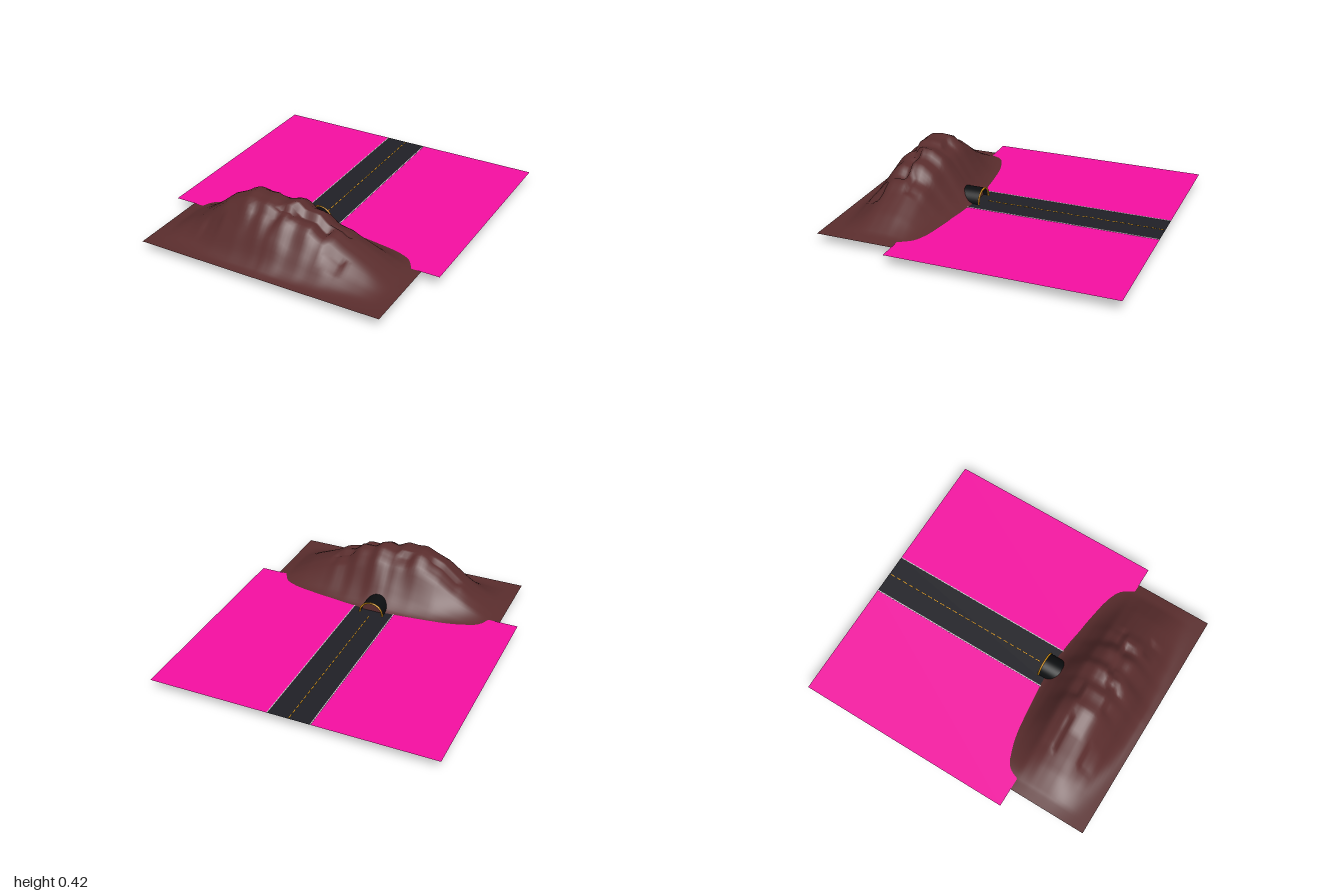
import * as THREE from 'three';

const mat = (color) => new THREE.MeshStandardMaterial({ color, side: THREE.DoubleSide });

// Piecewise linear profile through [position, value] pairs
function profile(points, t) {
  for (let i = 1; i < points.length; i++) {
    const [a, u] = points[i - 1], [b, v] = points[i];
    if (t <= b) return u + (v - u) * THREE.MathUtils.clamp((t - a) / (b - a), 0, 1);
  }
  return points[points.length - 1][1];
}

const GROUND = 0.08, BASE = 0.07;

// Ridge seen along z and along x
const ridgeX = [[-0.82, 0], [-0.74, 0.015], [-0.6, 0.095], [-0.5, 0.17], [-0.37, 0.28], [-0.22, 0.35],
  [-0.15, 0.34], [-0.08, 0.345], [-0.03, 0.32], [0.07, 0.35], [0.13, 0.3], [0.22, 0.3], [0.28, 0.245],
  [0.37, 0.22], [0.43, 0.18], [0.6, 0.1], [0.74, 0.02], [0.82, 0]];
const ridgeZ = [[0.25, 0], [0.3, 0.08], [0.36, 0.28], [0.42, 0.54], [0.48, 0.82], [0.56, 0.98], [0.63, 1],
  [0.7, 0.97], [0.74, 0.9], [0.78, 0.77], [0.85, 0.48], [0.9, 0.22], [0.95, 0.05], [1, 0]];

// Short rock ledges: x from, x to, z, depth, fall direction
const ledges = [[-0.48, -0.3, 0.6, 0.025, -1], [-0.48, -0.38, 0.76, 0.025, 1], [-0.15, -0.08, 0.56, 0.03, -1],
  [-0.15, 0, 0.72, 0.03, 1], [0, 0.08, 0.68, 0.03, 1], [0.08, 0.3, 0.64, 0.04, 1],
  [0.3, 0.4, 0.6, 0.03, -1], [0.36, 0.45, 0.74, 0.03, 1]];

function mountainHeight(x, z) {
  const fz = profile(ridgeZ, z);
  let h = profile(ridgeX, x) * Math.pow(fz, 1 + Math.abs(x));
  // gullies running down the slopes
  h *= 1 + 0.07 * (1 - fz) * Math.sin(9 * x + 4 * z) + 0.04 * Math.sin(17 * x - 13 * z) * fz * (1 - fz) * 4;
  for (const [x0, x1, zl, depth, dir] of ledges) {
    const d = (z - zl) * dir;
    const across = Math.min(x - x0, x1 - x);
    if (d > 0 && d < 0.11 && across > -0.03) {
      h -= depth * (1 - d / 0.11) * THREE.MathUtils.clamp((across + 0.03) / 0.03, 0, 1);
    }
  }
  return BASE + Math.max(0, h);
}

export function createModel() {
  const model = new THREE.Group();
  const brown = mat(0x5a2d2d), pink = mat(0xf50fa2), asphalt = mat(0x202026);
  const white = mat(0xdddddd), gold = mat(0xe09a18), black = mat(0x0c0e10);

  const add = (name, geometry, material, x = 0, y = 0, z = 0) => {
    const mesh = new THREE.Mesh(geometry, material);
    mesh.name = name;
    mesh.position.set(x, y, z);
    model.add(mesh);
    return mesh;
  };
  const flat = (w, d) => new THREE.PlaneGeometry(w, d).rotateX(-Math.PI / 2);

  // Mountain sheet, open below
  const terrain = flat(1.64, 0.75);
  terrain.copy(new THREE.PlaneGeometry(1.64, 0.75, 80, 40).rotateX(-Math.PI / 2)).translate(0, 0, 0.625);
  const p = terrain.attributes.position;
  for (let i = 0; i < p.count; i++) p.setY(i, mountainHeight(p.getX(i), p.getZ(i)));
  terrain.computeVertexNormals();
  add('mountain', terrain, brown);

  // Ground on both sides of the road, with white edge lines
  const length = 1.475, midZ = -1 + length / 2;
  for (const [side, s] of [['left', 1], ['right', -1]]) {
    add(side + 'Ground', flat(0.805, length), pink, s * 0.5425, GROUND, midZ);
    add(side + 'RoadEdgeLine', new THREE.BoxGeometry(0.006, 0.004, length), white, s * 0.141, GROUND, midZ);
  }
  add('road', flat(0.28, length), asphalt, 0, GROUND, midZ);

  // Dashed centre line
  for (let i = 0; i < 24; i++) {
    add('centreDash', new THREE.BoxGeometry(0.005, 0.004, 0.032), gold, 0, GROUND, -0.975 + i * 0.05);
  }

  // Tunnel: solid bore, dark half-round lining and gold portal arch
  add('tunnelBore', new THREE.CylinderGeometry(0.08, 0.08, 0.565, 32).rotateX(Math.PI / 2), brown, 0, GROUND, 0.5475);
  add('tunnelLining', new THREE.CylinderGeometry(0.082, 0.082, 0.56, 32, 1, true, Math.PI / 2, Math.PI)
    .rotateX(Math.PI / 2), black, 0, GROUND, 0.505);
  add('portalArch', new THREE.TorusGeometry(0.081, 0.006, 8, 32, Math.PI), gold, 0, GROUND, 0.228);

  return model;
}
